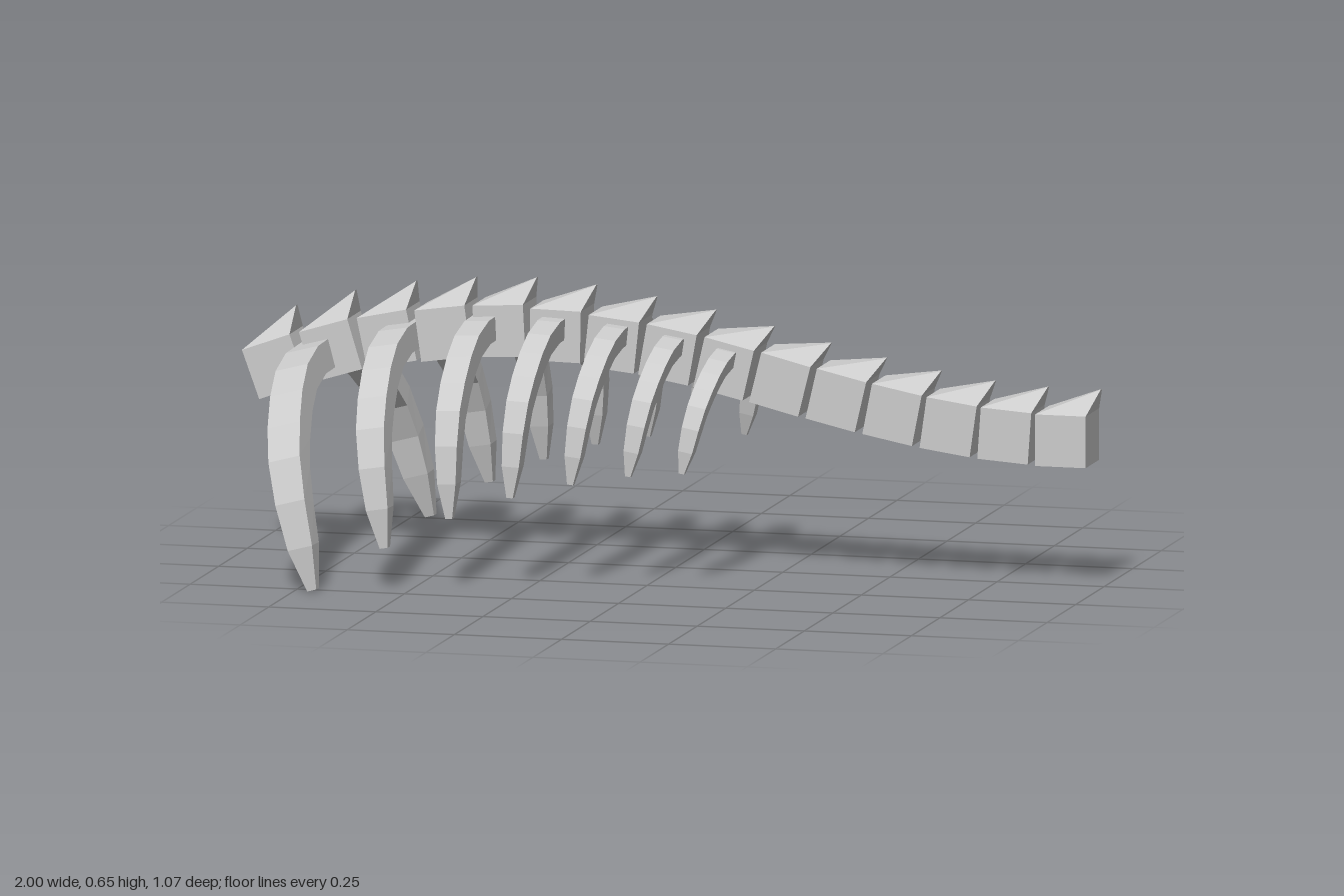
import * as THREE from 'three';
import { ConvexGeometry } from 'three/addons/geometries/ConvexGeometry.js';

const material = new THREE.MeshStandardMaterial({ color: 0xcccccc, flatShading: true });
const SIZE = 0.118; // edge of a vertebra body

// Vertebrae along the back: [centre height, tilt in degrees]
const VERTEBRAE = [
  [0.427, 20], [0.47, 17], [0.502, 12], [0.521, 8], [0.533, 3],
  [0.528, -1], [0.515, -6], [0.497, -10], [0.471, -13], [0.441, -14],
  [0.411, -13], [0.384, -11], [0.362, -8], [0.348, -4], [0.342, 0],
];

// Ribs: [top x, top y, tip x, tip y, half span, width, thickness]
const RIBS = [
  [-0.837, 0.487, -0.709, 0.004, 0.535, 0.078, 0.066],
  [-0.628, 0.54, -0.556, 0.098, 0.478, 0.068, 0.06],
  [-0.436, 0.565, -0.417, 0.163, 0.43, 0.057, 0.054],
  [-0.27, 0.57, -0.286, 0.21, 0.388, 0.053, 0.049],
  [-0.12, 0.56, -0.155, 0.24, 0.35, 0.049, 0.044],
  [0.013, 0.54, -0.03, 0.258, 0.313, 0.046, 0.04],
  [0.136, 0.515, 0.088, 0.265, 0.285, 0.044, 0.037],
];

// Outer edge of half a rib: [share of span, share of drop, width scale, thickness scale]
const PROFILE = [
  [0, 0, 1, 1], [0.25, 0.004, 1, 1], [0.46, 0.05, 1, 1], [0.63, 0.14, 1, 1], [0.78, 0.26, 1, 1],
  [0.9, 0.4, 0.97, 1], [0.975, 0.59, 0.9, 1], [1, 0.8, 0.75, 0.9], [0.985, 1, 0.28, 0.35],
];

function makeVertebra() {
  const group = new THREE.Group();
  const h = SIZE / 2;
  const body = new THREE.Mesh(new THREE.BoxGeometry(SIZE, SIZE, SIZE), material);
  body.name = 'vertebraBody';
  // Swept-back spine, a pyramid with a narrow tip overhanging the rear
  const points = [[-h, -h], [-h, h], [h, -h], [h, h]].map(([x, z]) => new THREE.Vector3(x, h, z));
  for (const s of [-1, 1]) points.push(new THREE.Vector3(0.08, 0.113, s * 0.006));
  const spine = new THREE.Mesh(new ConvexGeometry(points), material);
  spine.name = 'vertebraSpine';
  group.add(body, spine);
  return group;
}

// Arched bar with a rectangular section, tapered at both tips
function ribGeometry(span, drop, width, thickness) {
  const half = PROFILE.map(([u, d, w, t]) => ({ z: u * span, y: -d * drop, w: w * width / 2, t: t * thickness }));
  const path = [...half.slice(1).reverse().map((p) => ({ ...p, z: -p.z })), ...half];
  const positions = [];
  path.forEach((p, i) => {
    const a = path[Math.max(i - 1, 0)];
    const b = path[Math.min(i + 1, path.length - 1)];
    const len = Math.hypot(b.z - a.z, b.y - a.y);
    const iz = p.z + ((b.y - a.y) / len) * p.t; // inner edge, offset square to the path
    const iy = p.y - ((b.z - a.z) / len) * p.t;
    // keep the blunt tip level
    const end = i === 0 || i === path.length - 1;
    const y = end ? p.y : iy;
    positions.push(p.w, y, iz, p.w, p.y, p.z, -p.w, p.y, p.z, -p.w, y, iz);
  });
  const index = [];
  for (let i = 0; i < path.length - 1; i++) {
    for (let j = 0; j < 4; j++) {
      const a = i * 4 + j;
      const b = i * 4 + ((j + 1) % 4);
      index.push(a, b, b + 4, a, b + 4, a + 4);
    }
  }
  const e = (path.length - 1) * 4;
  index.push(2, 1, 0, 3, 2, 0, e, e + 1, e + 2, e, e + 2, e + 3);
  const geometry = new THREE.BufferGeometry();
  geometry.setAttribute('position', new THREE.Float32BufferAttribute(positions, 3));
  geometry.setIndex(index);
  const flat = geometry.toNonIndexed();
  flat.computeVertexNormals();
  return flat;
}

export function createModel() {
  const model = new THREE.Group();
  model.name = 'spineAndRibs';

  // Backbone, drifting slightly sideways along its length
  VERTEBRAE.forEach(([y, tilt], i) => {
    const vertebra = makeVertebra();
    vertebra.name = `vertebra${i + 1}`;
    vertebra.position.set(-0.925 + i * 0.1316, y, -0.015 + i * 0.0021);
    vertebra.rotation.z = THREE.MathUtils.degToRad(tilt);
    model.add(vertebra);
  });

  // Rib arches, each leaning from its top towards its tips
  RIBS.forEach(([x, y, tipX, tipY, span, width, thickness], i) => {
    const drop = Math.hypot(tipX - x, y - tipY);
    const rib = new THREE.Mesh(ribGeometry(span, drop, width, thickness), material);
    rib.name = `ribPair${i + 1}`;
    rib.position.set(x, y, 0);
    rib.rotation.z = Math.atan2(tipX - x, y - tipY);
    model.add(rib);
  });
  return model;
}
